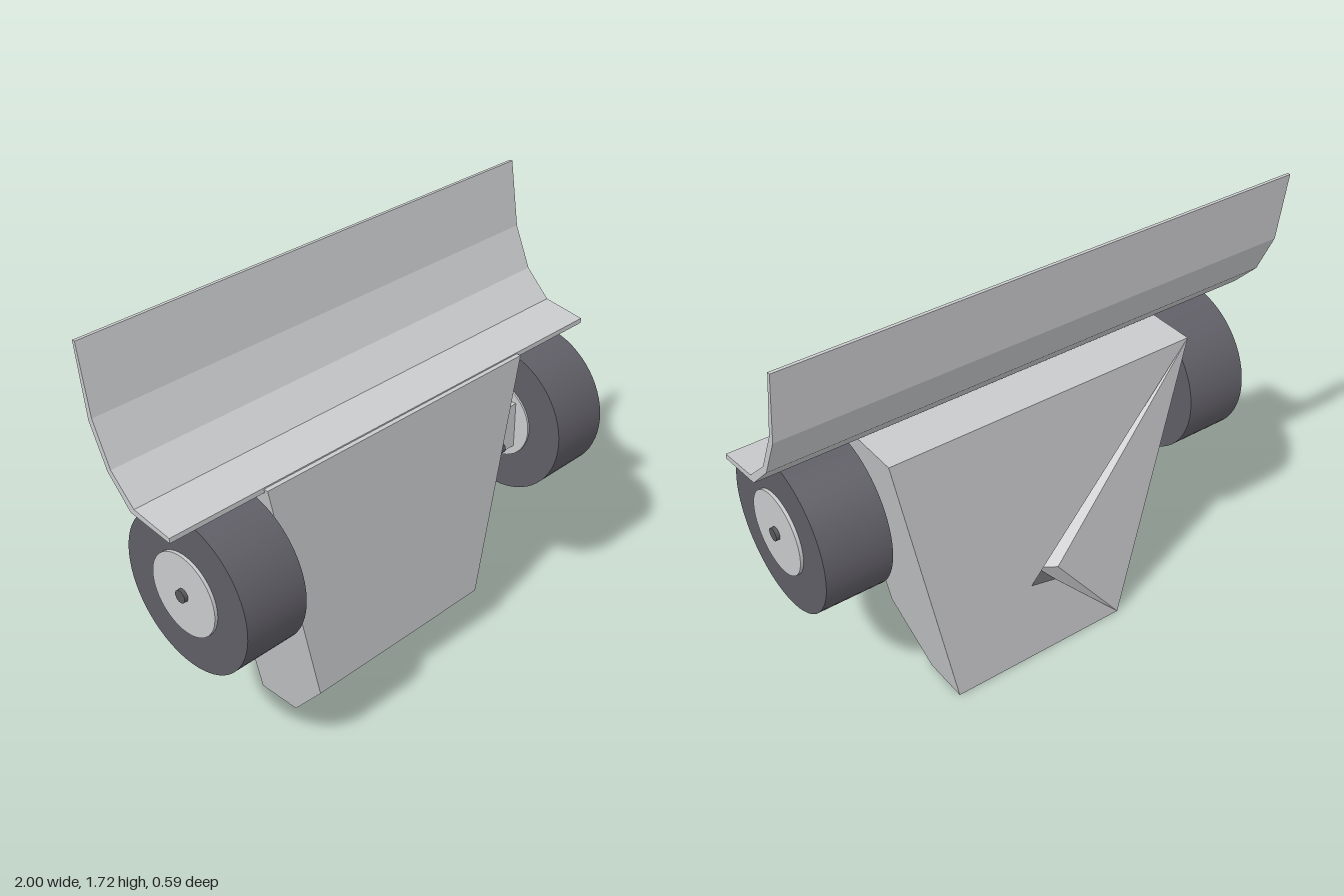
import * as THREE from 'three';

export function createModel() {
  const group = new THREE.Group();
  const mat = (name, color) => Object.assign(new THREE.MeshStandardMaterial({ color }), { name });
  const metal = mat('light metal', 0xc9cacc);
  const rubber = mat('tyre grey', 0x605e66);
  const dark = mat('bolt grey', 0x58585c);

  const add = (name, geometry, material, parent = group) => {
    const mesh = new THREE.Mesh(geometry, material);
    mesh.name = name;
    parent.add(mesh);
    return mesh;
  };
  const fromTriangles = (tris) => {
    const g = new THREE.BufferGeometry();
    g.setAttribute('position', new THREE.Float32BufferAttribute(tris.flat(2), 3));
    g.computeVertexNormals();
    return g;
  };

  // Tapered body: side profile as [y, z], width grows with height
  const halfWidth = (y) => 0.375 + 0.206 * y;
  const profile = [[0, -0.265], [1.19, -0.265], [1.19, 0.108], [0.22, 0.108], [0, -0.08]];
  const right = profile.map(([y, z]) => [-halfWidth(y), y, z]);
  const left = profile.map(([y, z]) => [halfWidth(y), y, z]);
  const body = [];
  for (let i = 1; i < 4; i++) {
    body.push([left[0], left[i], left[i + 1]], [right[0], right[i + 1], right[i]]);
  }
  for (let i = 1; i < 5; i++) {
    const j = (i + 1) % 5;
    body.push([left[j], left[i], right[i]], [left[j], right[i], right[j]]);
  }

  // Back face with a creased dent running to the two right corners
  const [TL, BL, TR, BR] = [left[1], left[0], right[1], right[0]];
  const A = [0.05, 0.37, -0.265], B = [-0.06, 0.345, -0.265], C = [-0.07, 0.4, -0.265];
  const pit = [-0.02, 0.375, -0.2];
  body.push([TL, A, TR], [TL, BL, A], [BL, B, A], [BL, BR, B], [BR, TR, C]);
  body.push([TR, A, pit], [B, BR, pit], [BR, C, pit], [C, TR, pit]);
  add('body', fromTriangles(body), metal);
  add('dentFloor', fromTriangles([[A, B, pit]]), dark);

  // Curved blade: section as [z, y], extruded across the width
  const section = [
    [0.09, 1.195], [-0.077, 1.22], [-0.177, 1.318], [-0.245, 1.473], [-0.284, 1.722],
    [-0.296, 1.722], [-0.264, 1.459], [-0.195, 1.305], [-0.095, 1.2], [0.09, 1.176],
  ].map(([z, y]) => new THREE.Vector2(z, y));
  const blade = new THREE.ExtrudeGeometry(new THREE.Shape(section), { depth: 2, bevelEnabled: false });
  blade.translate(0, 0, -1).rotateY(-Math.PI / 2);
  add('blade', blade, metal);

  // Wheels, axle blocks and bolts on both sides
  const rod = (radius, x0, x1, sides = 48) =>
    new THREE.CylinderGeometry(radius, radius, x1 - x0, sides)
      .rotateZ(-Math.PI / 2).translate((x0 + x1) / 2, 0, 0);
  for (const side of [1, -1]) {
    const wheel = new THREE.Group();
    wheel.name = side > 0 ? 'leftWheel' : 'rightWheel';
    wheel.position.y = 0.878;
    wheel.rotation.y = side > 0 ? 0 : Math.PI;
    add('tyre', rod(0.295, 0.64, 0.89, 64), rubber, wheel);
    add('hub', rod(0.154, 0.632, 0.902), metal, wheel);
    add('hubBolt', rod(0.024, 0.6, 0.916, 20), dark, wheel);
    group.add(wheel);

    const block = add('axleBlock', new THREE.BoxGeometry(0.16, 0.185, 0.18), metal);
    block.position.set(side * 0.56, 0.882, 0);
    const bolt = add('sideBolt', rod(0.02, -0.04, 0.04, 16), dark);
    bolt.position.set(side * 0.528, 0.808, 0.085);
  }
  return group;
}
